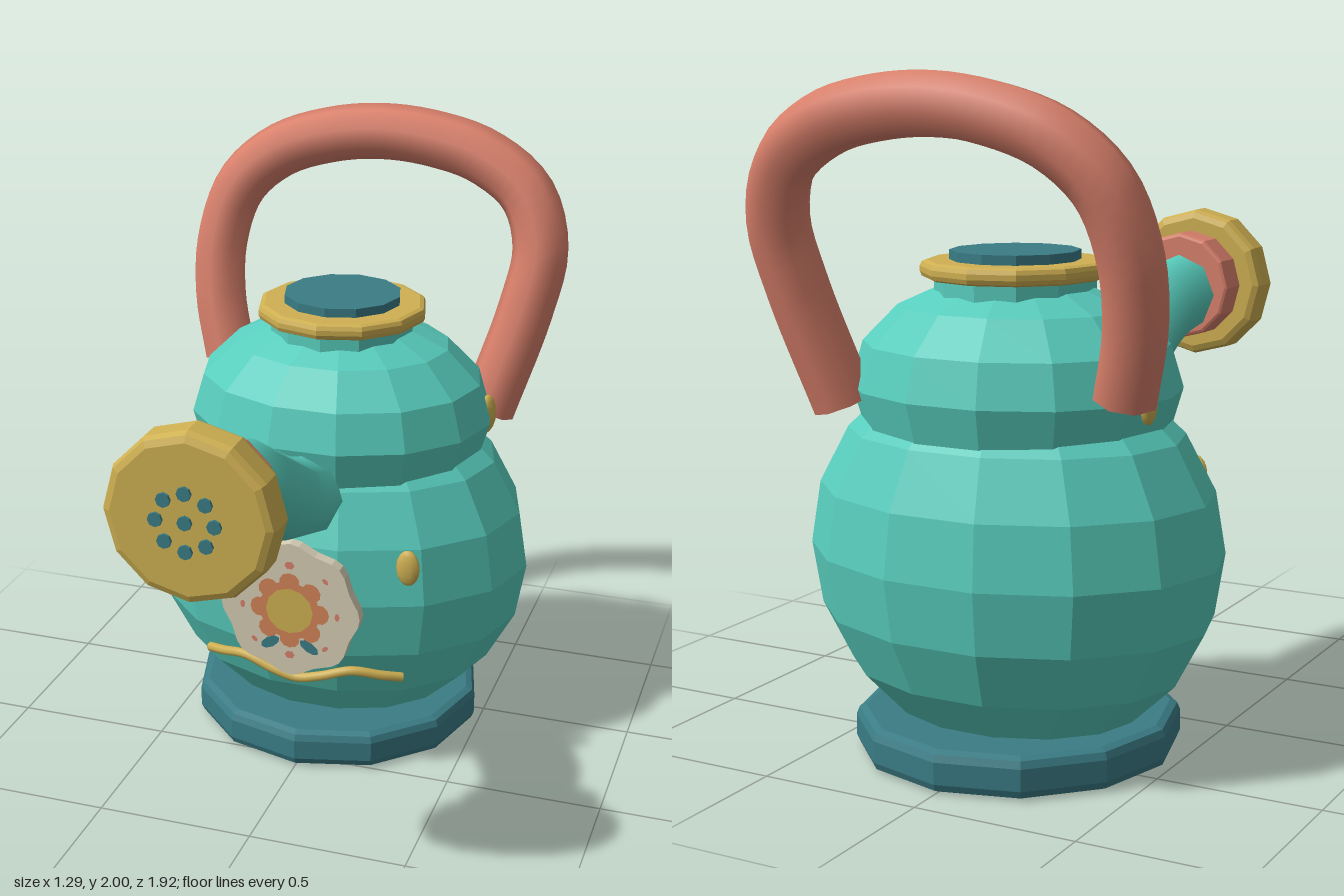
import * as THREE from 'three';

export function createModel() {
  const model = new THREE.Group();
  model.name = 'wateringCan';
  const mat = (name, color, flatShading = false) =>
    Object.assign(new THREE.MeshStandardMaterial({ color, flatShading }), { name });
  const teal = mat('teal', 0x58cdbd, true);
  const tealSmooth = mat('smoothTeal', 0x58cdbd);
  const darkTeal = mat('darkTeal', 0x3a7c85, true);
  const salmon = mat('salmon', 0xd9806b);
  const salmonFlat = mat('flatSalmon', 0xd9806b, true);
  const gold = mat('gold', 0xcfb052, true);
  const goldSmooth = mat('smoothGold', 0xcfb052);
  const cream = mat('cream', 0xd6cdb4, true);
  const orange = mat('orange', 0xd28458, true);

  const CZ = -0.42; // centre of the can in z
  const add = (name, geometry, material, x = 0, y = 0, z = 0) => {
    const mesh = new THREE.Mesh(geometry, material);
    mesh.name = name;
    mesh.position.set(x, y, z);
    model.add(mesh);
    return mesh;
  };
  // Twelve-sided disc with bevelled rims, standing on y = 0
  const disc = (r, h, b) => new THREE.LatheGeometry(
    [[0, 0], [r - b, 0], [r - b * 0.3, b * 0.3], [r, b], [r, h - b], [r - b * 0.3, h - b * 0.3], [r - b, h], [0, h]]
      .map(p => new THREE.Vector2(...p)), 12);
  // Tube through points with closed ends
  const tube = (name, points, r, sides, material, steps = 40) => {
    const curve = new THREE.CatmullRomCurve3(points.map(p => new THREE.Vector3(...p)));
    add(name, new THREE.TubeGeometry(curve, steps, r, sides), material);
    for (const [t, s] of [[0, -1], [1, 1]]) {
      const end = curve.getPoint(t);
      const cap = add(name + 'End', new THREE.CircleGeometry(r, sides), material, end.x, end.y, end.z);
      cap.lookAt(end.clone().addScaledVector(curve.getTangent(t), s));
    }
  };

  // Base, belly, shoulder and neck
  add('base', disc(0.485, 0.125, 0.03), darkTeal, 0, 0, -0.415);
  add('belly', new THREE.SphereGeometry(1, 14, 10).scale(0.64, 0.6, 0.505), teal, 0, 0.605, CZ - 0.005);
  add('shoulder', new THREE.SphereGeometry(1, 14, 8).scale(0.5, 0.33, 0.43), teal, 0, 1.09, CZ);
  add('neck', new THREE.CylinderGeometry(0.235, 0.235, 0.16, 12), teal, 0, 1.34, CZ);
  add('rim', disc(0.275, 0.052, 0.018), gold, 0, 1.405, CZ);
  add('lid', new THREE.CylinderGeometry(0.19, 0.19, 0.03, 12), darkTeal, 0, 1.47, CZ);

  // Handle, leaning back as it rises
  tube('handle', [
    [-0.49, 1.13], [-0.54, 1.33], [-0.545, 1.52], [-0.49, 1.7], [-0.36, 1.82], [-0.18, 1.885], [0, 1.908],
    [0.18, 1.895], [0.35, 1.85], [0.5, 1.745], [0.56, 1.58], [0.53, 1.38], [0.43, 1.04],
  ].map(([x, y]) => [x, y, -0.67 - 0.22 * (y - 1.03)]), 0.092, 8, salmon, 56);

  // Spout and sprinkler head
  tube('spout', [[0, 0.88, -0.2], [0, 0.94, 0], [0, 1.0, 0.16], [0, 1.1, 0.34], [0, 1.2, 0.53], [0, 1.24, 0.74]],
    0.13, 8, tealSmooth);
  add('spoutCollar', disc(0.18, 0.115, 0.012), salmonFlat, 0, 1.26, 0.705).rotation.x = Math.PI / 2;
  add('sprinklerHead', disc(0.25, 0.125, 0.028), gold, 0, 1.26, 0.82).rotation.x = Math.PI / 2;
  for (let i = 0; i < 9; i++) {
    const a = i * Math.PI / 4, r = i < 8 ? 0.084 : 0;
    const hole = add('sprinklerHole', new THREE.CylinderGeometry(0.021, 0.021, 0.009, 8), darkTeal,
      r * Math.cos(a), 1.26 + r * Math.sin(a), 0.959);
    hole.rotation.x = Math.PI / 2;
  }

  // Scalloped medallion
  const outline = [];
  for (let i = 0; i < 48; i++) {
    const a = i * Math.PI / 24, r = 0.221 + 0.009 * Math.cos(8 * a);
    outline.push(new THREE.Vector2(r * Math.cos(a), r * Math.sin(a)));
  }
  add('medallion', new THREE.ExtrudeGeometry(new THREE.Shape(outline), { depth: 0.04, bevelEnabled: false }),
    cream, 0, 0.595, 0.07);

  // Flower on the medallion: thin layered plates
  const plate = (name, r, sides, material, x, y, z, sx = 1, turn = 0) => {
    const mesh = add(name, new THREE.CircleGeometry(r, sides), material, x, 0.595 + y, z);
    mesh.scale.x = sx;
    mesh.rotation.z = turn;
  };
  plate('flowerDisc', 0.1, 16, orange, 0, 0, 0.113);
  plate('flowerCentre', 0.078, 12, gold, 0, 0, 0.116);
  for (let i = 0; i < 8; i++) {
    const a = i * Math.PI / 4;
    plate('petal', 0.034, 10, orange, 0.1 * Math.cos(a), 0.1 * Math.sin(a), 0.1135, 0.9, a);
  }
  for (const s of [-1, 1]) {
    plate('leaf', 0.036, 8, darkTeal, s * 0.065, -0.12, 0.1145, 0.5, s * 1.0);
    plate('sideBud', 0.014, 6, salmonFlat, s * 0.157, 0, 0.113, 0.6);
    plate('endBud', 0.014, 6, salmonFlat, 0, s * 0.157, 0.113, 1.2);
    for (const t of [-1, 1])
      plate('cornerBud', 0.013, 6, salmonFlat, s * 0.118, t * 0.118, 0.113, 0.6, s * t * 0.8);
  }

  // Gold studs on the belly and the shoulder
  for (const s of [-1, 1]) {
    add('bellyStud', new THREE.SphereGeometry(1, 10, 8).scale(0.038, 0.06, 0.018), goldSmooth, s * 0.365, 0.77, 0.05);
    add('shoulderStud', new THREE.SphereGeometry(1, 10, 8).scale(0.026, 0.065, 0.046), goldSmooth,
      s * 0.468, 1.09, -0.505).rotation.y = -s * 0.25;
  }

  // Wavy gold trim under the medallion
  tube('wavyTrim', [[-0.33, 0.335, -0.04], [-0.27, 0.35, -0.005], [-0.18, 0.368, 0.03], [-0.08, 0.34, 0.045],
    [0, 0.322, 0.045], [0.08, 0.34, 0.045], [0.18, 0.368, 0.03], [0.27, 0.35, -0.005], [0.33, 0.335, -0.04]],
    0.016, 8, goldSmooth);

  return model;
}
